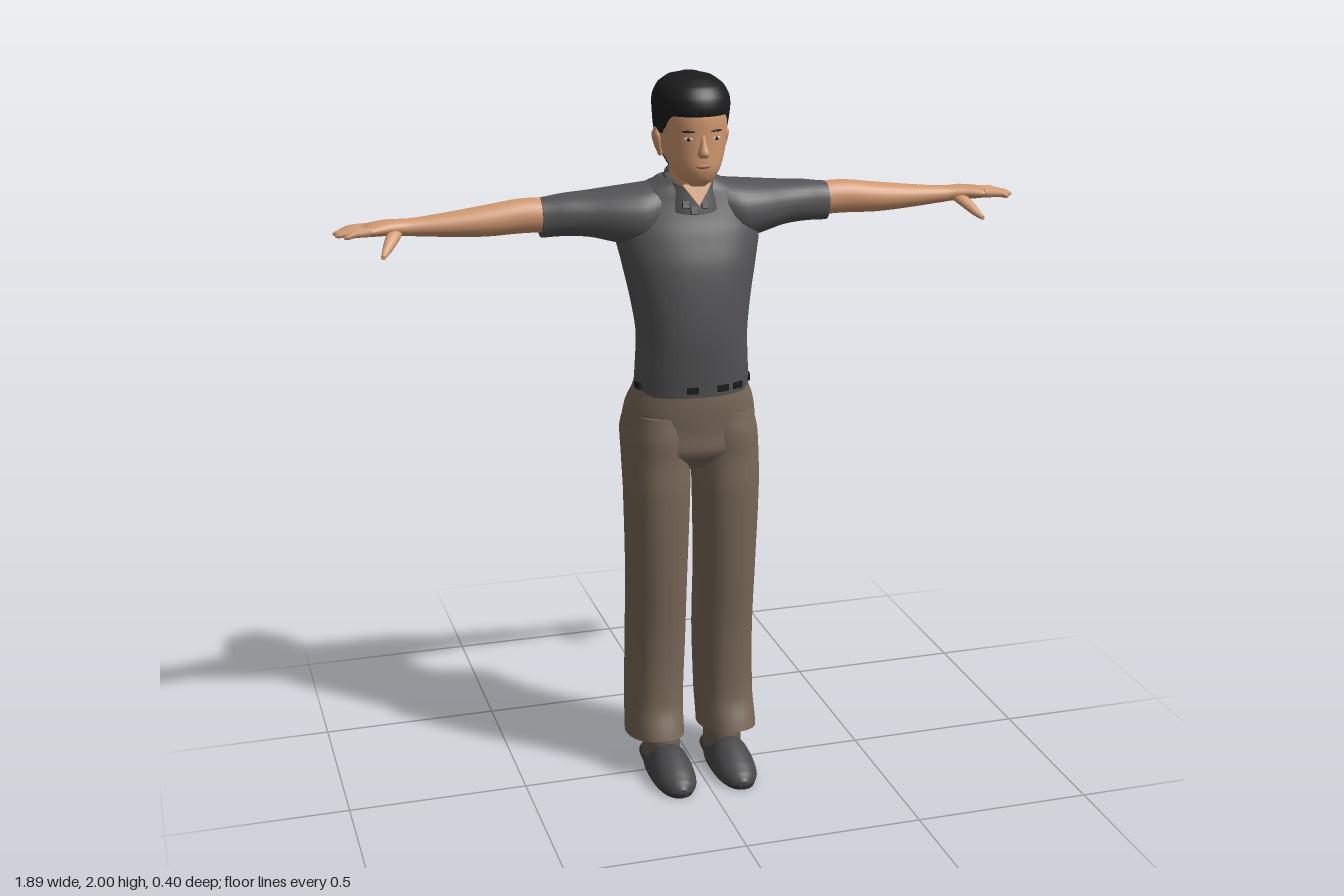
import * as THREE from 'three';

const mat = (name, color, side = THREE.FrontSide) => {
  const m = new THREE.MeshStandardMaterial({ color, side });
  m.name = name;
  return m;
};

// Point on a slightly squared ellipse
const oval = (a, r1, r2, n) => {
  const c = Math.cos(a), s = Math.sin(a);
  return [r1 * Math.sign(c) * Math.abs(c) ** (2 / n), r2 * Math.sign(s) * Math.abs(s) ** (2 / n)];
};

// Smooth skin through oval sections [t, centre1, centre2, radius1, radius2] along an axis
function loft(axis, rows, { n = 2, seg = 28, sub = 4, caps = true, bend } = {}) {
  const pos = [], idx = [], steps = (rows.length - 1) * sub;
  const mix = (f, k) => {
    const i = Math.min(Math.floor(f), rows.length - 2), u = f - i;
    const p = (j) => rows[Math.max(0, Math.min(rows.length - 1, j))][k];
    if (k === 0) return p(i) + (p(i + 1) - p(i)) * u;
    const a = p(i - 1), b = p(i), c = p(i + 1), d = p(i + 2);
    return b + 0.5 * u * (c - a + u * (2 * a - 5 * b + 4 * c - d + u * (3 * (b - c) + d - a)));
  };
  const put = (t, a, b) => {
    const v = axis === 'x' ? new THREE.Vector3(t, a, b)
      : axis === 'y' ? new THREE.Vector3(a, t, b) : new THREE.Vector3(a, b, t);
    if (bend) bend(v);
    pos.push(v.x, v.y, v.z);
  };
  const ring = (f) => {
    const [t, a, b, r1, r2] = [0, 1, 2, 3, 4].map((k) => mix(f, k));
    for (let j = 0; j < seg; j++) {
      const [p, q] = oval(j / seg * Math.PI * 2, r1, r2, n);
      put(t, a + p, b + q);
    }
    return [t, a, b];
  };
  const flip = (axis === 'y') !== (rows[rows.length - 1][0] < rows[0][0]);
  const tri = (a, b, c) => (flip ? idx.push(a, c, b) : idx.push(a, b, c));
  for (let i = 0; i <= steps; i++) ring(i / sub);
  for (let i = 0; i < steps; i++) for (let j = 0; j < seg; j++) {
    const k = (j + 1) % seg, a = i * seg, b = a + seg;
    tri(a + j, a + k, b + k);
    tri(a + j, b + k, b + j);
  }
  if (caps) for (const end of [0, 1]) {
    const s = pos.length / 3, c = ring(end * steps / sub);
    put(...c);
    for (let j = 0; j < seg; j++) {
      const k = (j + 1) % seg;
      if (end) tri(s + j, s + k, s + seg); else tri(s + k, s + j, s + seg);
    }
  }
  const g = new THREE.BufferGeometry();
  g.setAttribute('position', new THREE.Float32BufferAttribute(pos, 3));
  g.setIndex(idx);
  g.computeVertexNormals();
  return g;
}

function mirrored(geo) {
  const g = geo.clone().scale(-1, 1, 1), ix = g.index.array;
  for (let i = 0; i < ix.length; i += 3) [ix[i], ix[i + 1]] = [ix[i + 1], ix[i]];
  g.computeVertexNormals();
  return g;
}

export function createModel() {
  const model = new THREE.Group();
  model.name = 'standingMan';
  const skin = mat('skin', 0xd0986f), shirt = mat('shirtGrey', 0x545456, THREE.DoubleSide);
  const cloth = mat('trouserBrown', 0x786858), black = mat('hairBlack', 0x1c1c1d);
  const leather = mat('shoeGrey', 0x48484a), sock = mat('sockBrown', 0x6a5d50);
  const soleMat = mat('soleDark', 0x363638), white = mat('eyeWhite', 0xd8d2ca), lip = mat('lip', 0xa86a55);

  const add = (name, geo, m) => {
    const mesh = new THREE.Mesh(geo, m);
    mesh.name = name;
    model.add(mesh);
    return mesh;
  };
  const pair = (name, geo, m) => {
    add(name + 'Left', geo, m);
    add(name + 'Right', mirrored(geo), m);
  };

  // Shirt
  add('shirtBody', loft('y', [
    [1.14, 0, -.035, .158, .12], [1.2, 0, -.028, .156, .118], [1.3, 0, -.027, .152, .123],
    [1.4, 0, -.04, .165, .13], [1.5, 0, -.055, .185, .13], [1.58, 0, -.07, .2, .117],
    [1.64, 0, -.078, .19, .1], [1.69, 0, -.078, .14, .085], [1.72, 0, -.07, .08, .065],
  ], { n: 2.3, seg: 40 }), shirt);
  pair('sleeve', loft('x', [
    [.06, 1.64, -.08, .07, .08], [.13, 1.62, -.078, .083, .1], [.2, 1.622, -.085, .073, .097],
    [.27, 1.627, -.09, .061, .08], [.34, 1.628, -.089, .056, .063], [.4, 1.624, -.087, .053, .048],
  ], { n: 2.2 }), shirt);
  add('collar', loft('y', [
    [1.67, 0, -.05, .092, .088], [1.71, 0, -.05, .076, .078], [1.735, 0, -.05, .066, .07],
  ], { caps: false, bend: (v) => { v.y -= (v.z + .08) * .32; } }), shirt);

  // Open neck of the shirt
  const vShape = new THREE.Shape([[-.04, .03], [0, -.03], [.04, .03]].map((p) => new THREE.Vector2(...p)));
  const opening = add('neckOpening', new THREE.ExtrudeGeometry(vShape, { depth: .007, bevelEnabled: false }), skin);
  opening.position.set(0, 1.683, .032);
  opening.rotation.x = -.4;
  for (const [x, y] of [[-.035, 1.662], [-.012, 1.645], [.018, 1.66]]) {
    const b = add('collarButton', new THREE.BoxGeometry(.017, .02, .008), black);
    b.position.set(x, y, .04);
    b.rotation.x = -.4;
  }

  // Belt pieces showing around the waist
  for (const deg of [98, 72, 52, 10, 170, 232, 256, 284, 308]) {
    const a = deg * Math.PI / 180, [x, z] = oval(a, .159, .12, 2.3);
    const [x2, z2] = oval(a + .02, .159, .12, 2.3);
    const b = add('beltPiece', new THREE.BoxGeometry(.032, .018, .008), black);
    b.position.set(x, 1.162, z - .033);
    b.rotation.y = Math.atan2(z - z2, x2 - x);
  }

  // Trousers
  add('trouserSeat', loft('y', [
    [1.16, 0, -.036, .157, .117], [1.1, 0, -.05, .178, .132], [1.03, 0, -.06, .188, .137],
    [.97, 0, -.046, .187, .12], [.92, 0, -.04, .12, .07],
  ], { n: 2.3, seg: 40 }), cloth);
  pair('trouserLeg', loft('y', [
    [1.08, .09, -.055, .085, .125], [1.02, .097, -.06, .091, .138], [.95, .099, -.046, .092, .122],
    [.85, .1, -.033, .09, .113], [.6, .1, -.042, .084, .108], [.4, .1, -.06, .083, .106],
    [.2, .105, -.062, .081, .108], [.1, .108, -.043, .08, .122],
  ], { n: 2.3, bend: (v) => { v.y += .18 * (v.z + .043) * Math.max(0, 1 - (v.y - .1) / .3); } }), cloth);

  // Feet
  pair('sock', loft('y', [[.03, .092, -.03, .053, .076], [.08, .092, -.025, .052, .076], [.16, .095, -.04, .05, .07]]), sock);
  pair('shoe', loft('z', [
    [-.108, .092, .025, .03, .022], [-.08, .092, .025, .052, .035], [0, .092, .025, .056, .045],
    [.05, .09, .025, .058, .072], [.1, .09, .02, .06, .066], [.15, .09, .018, .053, .046],
    [.185, .09, .016, .034, .028], [.198, .09, .014, .012, .012],
  ], { bend: (v) => { v.y = Math.max(v.y, .01); } }), leather);
  pair('shoeSole', loft('y', [[0, .091, .045, .056, .152], [.014, .091, .045, .058, .155]], { n: 2.4, sub: 1 }), soleMat);

  // Arms and hands
  pair('arm', loft('x', [
    [.36, 1.63, -.088, .046, .043], [.45, 1.632, -.087, .046, .042], [.55, 1.625, -.085, .041, .042],
    [.65, 1.622, -.083, .032, .036], [.75, 1.622, -.08, .023, .027], [.8, 1.625, -.079, .021, .034],
    [.85, 1.624, -.072, .017, .042], [.88, 1.622, -.068, .01, .038],
  ]), skin);
  for (const [z0, z1, tip] of [[-.1, -.108, .93], [-.08, -.079, .947], [-.059, -.051, .944], [-.039, -.024, .925]]) {
    pair('finger', loft('x', [
      [.855, 1.624, z0, .012, .011], [.9, 1.623, (z0 + z1) / 2, .01, .01],
      [tip - .008, 1.618, z1, .007, .007], [tip, 1.617, z1, .003, .003],
    ], { seg: 10 }), skin);
  }
  pair('thumb', loft('z', [
    [-.07, .785, 1.618, .02, .015], [-.04, .8, 1.603, .019, .014],
    [-.01, .818, 1.582, .013, .011], [.012, .832, 1.567, .006, .006],
  ], { seg: 12 }), skin);

  // Head
  add('neck', loft('y', [[1.62, 0, -.055, .07, .07], [1.7, 0, -.045, .056, .062], [1.79, 0, -.04, .055, .062]]), skin);
  add('head', loft('y', [
    [1.712, 0, .035, .022, .02], [1.73, 0, .025, .045, .05], [1.76, 0, .01, .066, .076],
    [1.8, 0, -.015, .083, .101], [1.85, 0, -.025, .09, .111], [1.9, 0, -.03, .092, .115],
    [1.95, 0, -.03, .08, .1], [1.975, 0, -.03, .05, .07],
  ], { n: 2.1, seg: 36 }), skin);
  add('nose', loft('y', [
    [1.793, 0, .08, .012, .012], [1.803, 0, .086, .016, .02], [1.825, 0, .083, .01, .015], [1.852, 0, .08, .006, .007],
  ], { seg: 14 }), skin);
  pair('ear', loft('y', [
    [1.785, .084, -.03, .006, .01], [1.81, .089, -.034, .01, .018],
    [1.84, .094, -.036, .011, .024], [1.86, .092, -.036, .005, .012],
  ], { seg: 14 }), skin);

  // Hair, with the lower edge raised over the face and ears
  const ease = THREE.MathUtils.smoothstep;
  add('hair', loft('y', [
    [1.74, 0, -.06, .05, .045], [1.78, 0, -.055, .07, .072], [1.84, 0, -.042, .092, .106],
    [1.9, 0, -.034, .1, .123], [1.94, 0, -.033, .1, .12], [1.97, 0, -.037, .085, .104],
    [1.99, 0, -.04, .058, .072], [2, 0, -.04, .022, .03],
  ], {
    n: 2.1, seg: 48, sub: 6,
    bend: (v) => { v.y = Math.max(v.y, 1.745 + .1 * ease(v.z, -.08, -.045) + .055 * ease(v.z, 0, .05)); },
  }), black);

  // Face details
  const plate = (name, w, h, m, x, y, z, ry = 0) => {
    const p = add(name, new THREE.SphereGeometry(.5, 14, 8).scale(w, h, .008), m);
    p.position.set(x, y, z);
    p.rotation.y = ry;
  };
  for (const s of [1, -1]) {
    plate('eye', .026, .01, white, s * .038, 1.842, .076, s * .35);
    plate('iris', .009, .01, black, s * .038, 1.842, .079, s * .35);
    plate('eyebrow', .036, .006, black, s * .038, 1.862, .078, s * .35);
  }
  plate('mouth', .04, .011, lip, 0, 1.77, .085);
  return model;
}
